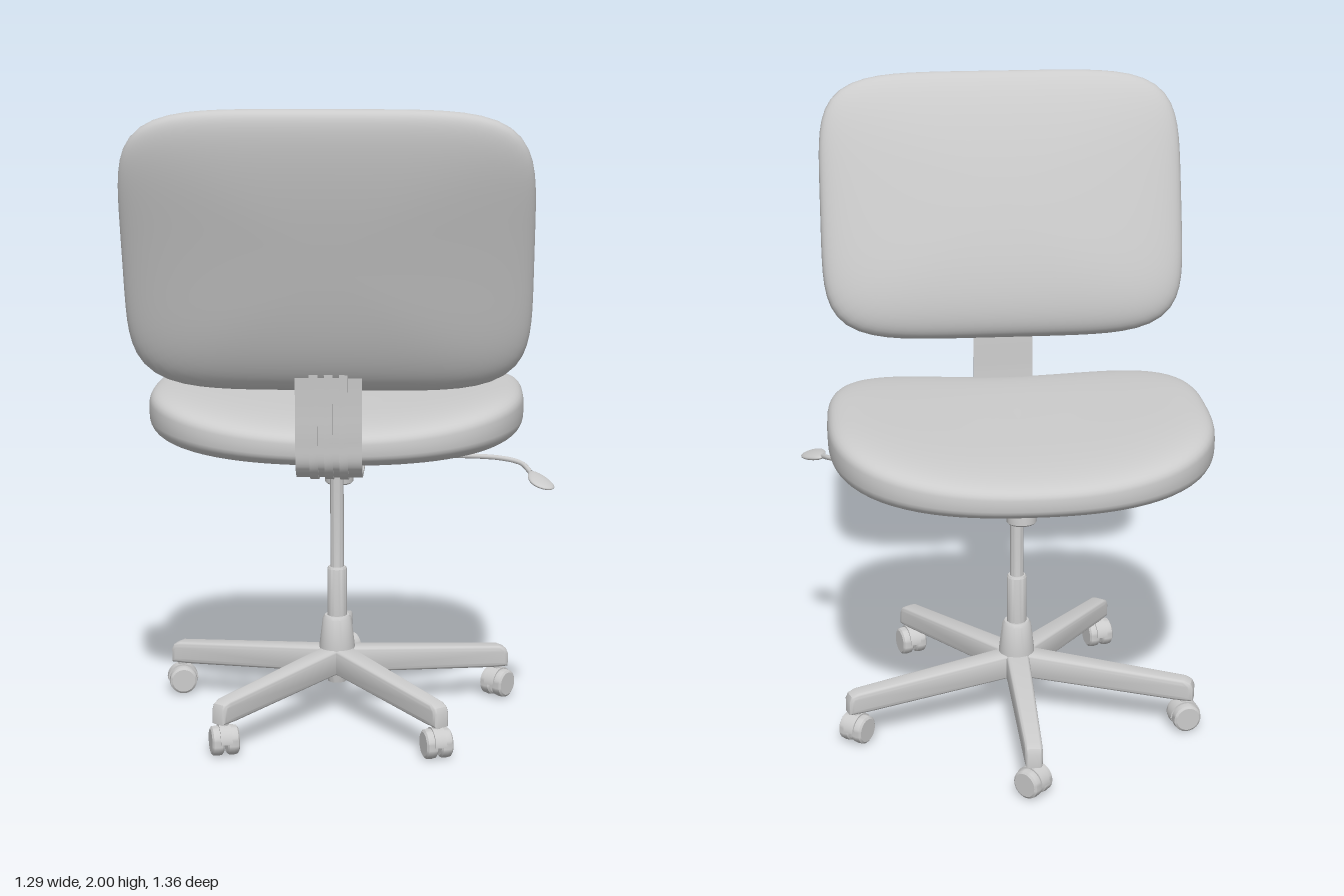
import * as THREE from 'three';
import { toCreasedNormals } from 'three/addons/utils/BufferGeometryUtils.js';

const CX = -0.043, CZ = -0.07; // column axis
const mat = new THREE.MeshStandardMaterial({ color: 0xcccccc, side: THREE.DoubleSide });

function add(parent, name, geometry, x = 0, y = 0, z = 0) {
  const mesh = new THREE.Mesh(geometry, mat);
  mesh.name = name;
  mesh.position.set(x, y, z);
  parent.add(mesh);
  return mesh;
}

// Closed pillow: superellipse outline (exponent n) with rounded edge (exponent p).
// place(u, v, w) maps unit coordinates to a point; w runs through the thickness.
function cushion(n, p, place) {
  const rows = 40, cols = 96, pos = [], index = [];
  const bend = c => Math.sign(c) * Math.abs(c) ** (2 / p);
  for (let i = 0; i <= rows; i++) {
    const phi = Math.PI * i / rows;
    const r = bend(Math.max(0, Math.sin(phi))), w = bend(Math.cos(phi));
    for (let j = 0; j < cols; j++) {
      const a = 2 * Math.PI * j / cols, c = Math.cos(a), s = Math.sin(a);
      const d = r * (Math.abs(c) ** n + Math.abs(s) ** n) ** (-1 / n);
      pos.push(...place(c * d, s * d, w));
      if (i === rows) continue;
      const k = i * cols + j, m = i * cols + (j + 1) % cols;
      index.push(k, k + cols, m + cols, k, m + cols, m);
    }
  }
  const g = new THREE.BufferGeometry();
  g.setAttribute('position', new THREE.Float32BufferAttribute(pos, 3));
  g.setIndex(index);
  g.computeVertexNormals();
  return g;
}

// Side profile of [z, y] points, extruded along x and centred on x = 0.
function sideExtrude(points, width, bevel = 0) {
  const g = new THREE.ExtrudeGeometry(new THREE.Shape(points.map(([a, b]) => new THREE.Vector2(a, b))), {
    depth: width - 2 * bevel, bevelEnabled: bevel > 0, bevelSize: bevel, bevelOffset: -bevel,
    bevelThickness: bevel, bevelSegments: 4,
  });
  g.rotateY(-Math.PI / 2).translate(width / 2 - bevel, 0, 0);
  return g;
}

// Strip following a [z, y] path, between two offsets from it.
function ribbon(path, inner, outer, width) {
  const curve = new THREE.CatmullRomCurve3(path.map(([z, y]) => new THREE.Vector3(z, y, 0)));
  const a = [], b = [];
  for (let i = 0; i <= 40; i++) {
    const q = curve.getPoint(i / 40), t = curve.getTangent(i / 40);
    a.push([q.x - t.y * inner, q.y + t.x * inner]);
    b.unshift([q.x - t.y * outer, q.y + t.x * outer]);
  }
  return toCreasedNormals(sideExtrude([...a, ...b], width), 0.6);
}

const lathe = pts => toCreasedNormals(
  new THREE.LatheGeometry(pts.map(([r, y]) => new THREE.Vector2(r, y)), 32), 0.6);

function caster(yaw) {
  const g = new THREE.Group();
  g.name = 'caster';
  const wheel = lathe([[0, -0.019], [0.038, -0.019], [0.045, -0.014], [0.047, 0], [0.045, 0.014], [0.038, 0.019], [0, 0.019]]);
  for (const s of [-1, 1]) add(g, 'wheel', wheel, s * 0.024, 0.047, 0).rotation.z = Math.PI / 2;
  const hood = new THREE.CylinderGeometry(0.051, 0.051, 0.036, 24, 1, false, 0, Math.PI);
  add(g, 'casterHood', hood, 0, 0.047, 0).rotation.z = Math.PI / 2;
  add(g, 'casterStem', new THREE.CylinderGeometry(0.014, 0.014, 0.05, 16), 0, 0.11, 0);
  g.rotation.y = yaw;
  return g;
}

export function createModel() {
  const chair = new THREE.Group();
  chair.name = 'officeChair';

  // Saddle-shaped seat: thicker and higher toward both sides
  add(chair, 'seatCushion', cushion(2.85, 3.4, (u, v, w) => [
    CX + 0.6 * u,
    0.968 + 0.06 * u * u + w * (0.078 + 0.04 * u * u),
    -0.128 - 0.528 * v,
  ]));

  // Leaning backrest, thinner toward the top
  add(chair, 'backrestCushion', cushion(5.2, 2.6, (u, v, w) => {
    const h = 0.42 * v, t = w * (0.09 - 0.018 * v);
    return [CX + 0.602 * u, 1.578 + h - 0.3 * t, 0.493 + 0.33 * h + 0.06 * h * h + t];
  }));

  // Bent back support with raised ribs
  const path = [[0.45, 1.24], [0.443, 1.12], [0.438, 1.0], [0.428, 0.93], [0.385, 0.893], [0.3, 0.884], [0.05, 0.88]];
  add(chair, 'backSupport', ribbon(path, -0.006, 0.006, 0.2), CX);
  for (const x of [-0.045, 0, 0.045])
    add(chair, 'supportRib', ribbon(path, 0, 0.012, 0.026), CX + x);

  // Tilt mechanism under the seat
  add(chair, 'seatPlate', new THREE.BoxGeometry(0.27, 0.014, 0.39), CX, 0.882, -0.145);
  const housing = new THREE.CylinderGeometry(0.11, 0.06, 0.035, 4, 1).rotateY(Math.PI / 4);
  add(chair, 'tiltHousing', toCreasedNormals(housing, 0.4), CX, 0.86, CZ);
  add(chair, 'tiltChannel', new THREE.BoxGeometry(0.1, 0.02, 0.26), CX, 0.867, -0.15);
  const knob = new THREE.Group();
  knob.name = 'tensionKnob';
  add(knob, 'knobStem', new THREE.CylinderGeometry(0.018, 0.018, 0.08, 16), 0, 0.075, 0);
  add(knob, 'knobGrip', lathe([[0, -0.05], [0.042, -0.05], [0.047, -0.045], [0.05, 0.04], [0.045, 0.048], [0, 0.048]]));
  knob.position.set(CX, 0.785, -0.22);
  knob.rotation.x = 0.06;
  chair.add(knob);

  // Height lever
  const rod = new THREE.CatmullRomCurve3([
    [-0.02, 0.876, -0.03], [0.3, 0.876, 0.0], [0.48, 0.874, 0.025], [0.545, 0.865, 0.055], [0.575, 0.848, 0.12],
  ].map(p => new THREE.Vector3(...p)));
  add(chair, 'leverRod', new THREE.TubeGeometry(rod, 40, 0.008, 10));
  const paddle = new THREE.SphereGeometry(1, 28, 18);
  const pp = paddle.attributes.position;
  for (let i = 0; i < pp.count; i++) {
    const z = pp.getZ(i);
    pp.setXYZ(i, pp.getX(i) * (0.037 + 0.012 * z), pp.getY(i) * 0.012, z * 0.07);
  }
  paddle.computeVertexNormals();
  add(chair, 'leverPaddle', paddle, 0.6, 0.834, 0.17).rotation.set(0.2, 0.3, -0.25);

  // Gas column and hub
  add(chair, 'gasColumn', lathe([
    [0, 0.1], [0.03, 0.1], [0.036, 0.13], [0.058, 0.135], [0.058, 0.225], [0.047, 0.315], [0.04, 0.325], [0.032, 0.325],
    [0.032, 0.482], [0.028, 0.488], [0.022, 0.488], [0.022, 0.79], [0.027, 0.79], [0.029, 0.83], [0.045, 0.832], [0.045, 0.86],
  ]), CX, 0, CZ);

  // Five-legged base with casters
  const legGeo = sideExtrude([[0, 0.132], [0.06, 0.132], [0.53, 0.105], [0.59, 0.105], [0.59, 0.15],
    [0.582, 0.167], [0.56, 0.177], [0.03, 0.218], [0, 0.218]], 0.078, 0.014);
  const lp = legGeo.attributes.position;
  for (let i = 0; i < lp.count; i++) lp.setX(i, lp.getX(i) * (1 - 0.3 * lp.getZ(i) / 0.59));
  const leg = toCreasedNormals(legGeo, 0.7);
  const yaws = [0.8, 0.5, 0.9, -0.3, 0.6];
  for (let k = 0; k < 5; k++) {
    const arm = new THREE.Group();
    arm.name = 'baseArm';
    arm.position.set(CX, 0, CZ);
    arm.rotation.y = Math.PI + k * 2 * Math.PI / 5;
    add(arm, 'baseLeg', leg);
    const c = caster(yaws[k]);
    c.position.z = 0.56;
    arm.add(c);
    chair.add(arm);
  }
  return chair;
}
